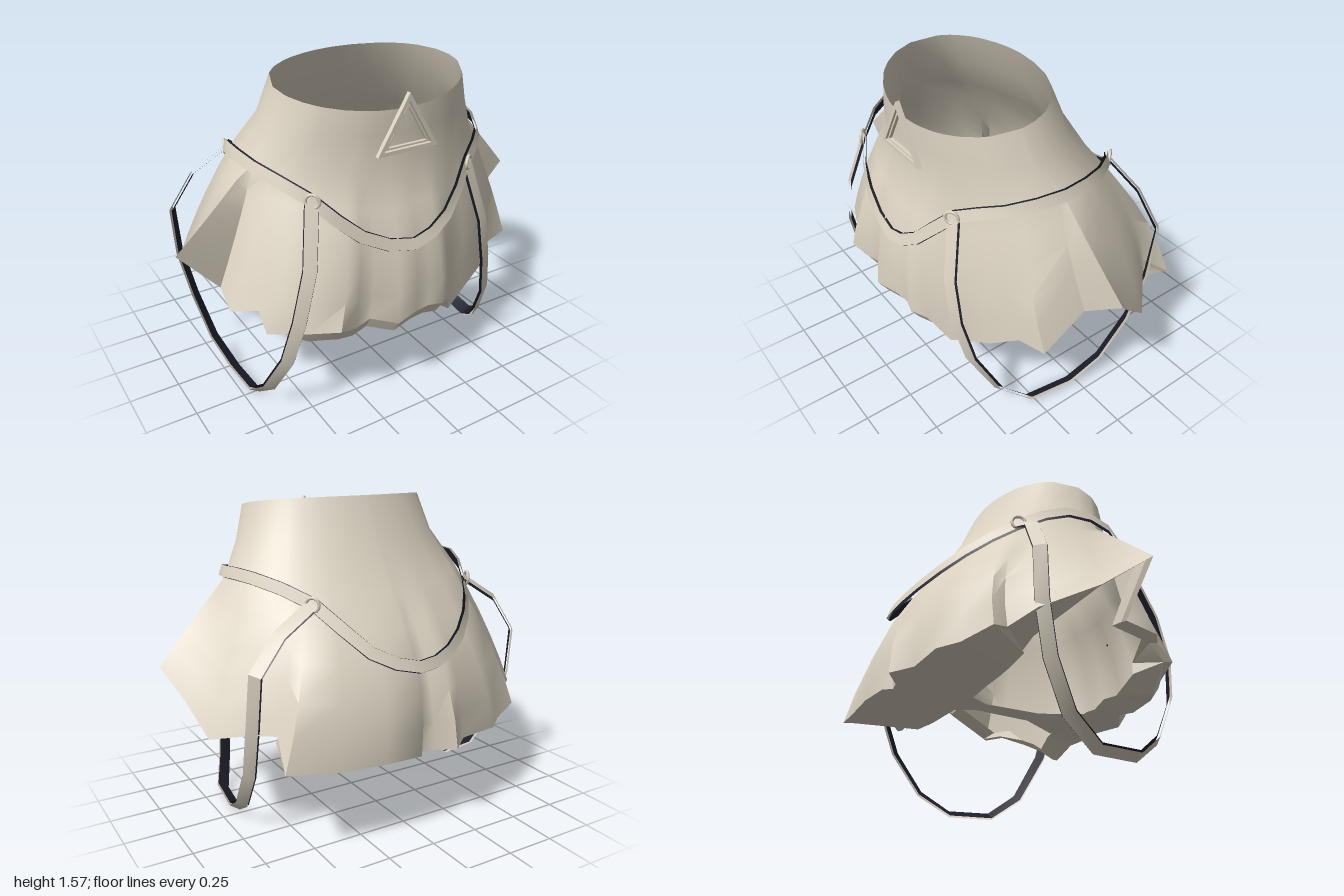
import * as THREE from 'three';
import { toCreasedNormals } from 'three/addons/utils/BufferGeometryUtils.js';

const cloth = new THREE.MeshStandardMaterial({ color: 0xdcd3c2, side: THREE.DoubleSide });
cloth.name = 'beige cloth';
const lining = new THREE.MeshStandardMaterial({ color: 0x1f1f2d, side: THREE.DoubleSide });
lining.name = 'dark lining';

const V = (x, y, z) => new THREE.Vector3(x, y, z);

// Joins cross-sections (rows of points) into one surface
function loft(rows, closed, crease) {
  const n = rows[0].length, pos = [], index = [];
  rows.forEach(row => row.forEach(p => pos.push(p.x, p.y, p.z)));
  for (let r = 0; r < rows.length - 1; r++) {
    for (let i = 0; i < (closed ? n : n - 1); i++) {
      const a = r * n + i, b = r * n + (i + 1) % n;
      index.push(a, a + n, b, b, a + n, b + n);
    }
  }
  const g = new THREE.BufferGeometry();
  g.setAttribute('position', new THREE.Float32BufferAttribute(pos, 3));
  g.setIndex(index);
  g.computeVertexNormals();
  return toCreasedNormals(g, crease);
}

function add(parent, name, geometry, material) {
  const m = new THREE.Mesh(geometry, material);
  m.name = name;
  parent.add(m);
  return m;
}

// Hem points (x, y, z) from the front round by the left side
const hem = [
  [0, .40, .64], [.08, .40, .63], [.15, .40, .65], [.22, .38, .60], [.30, .31, .52], [.40, .38, .50],
  [.55, .46, .46], [.66, .52, .37], [.81, .54, .34], [.80, .66, .10], [1, .82, .07], [.93, .68, -.05],
  [.88, .53, -.21], [.73, .57, -.36], [.65, .58, -.45], [.69, .46, -.60], [.45, .43, -.63], [.20, .42, -.65],
  [0, .41, -.64], [-.03, .41, -.60], [-.09, .41, -.61], [-.18, .42, -.68], [-.28, .43, -.60], [-.48, .44, -.59],
  [-.57, .45, -.52], [-.73, .48, -.45], [-.70, .50, -.37], [-.83, .55, -.30], [-.90, .70, -.02], [-1, .85, .19],
  [-.80, .62, .18], [-.82, .58, .33], [-.72, .60, .42], [-.72, .52, .50], [-.55, .43, .57], [-.43, .45, .66],
  [-.33, .41, .62], [-.24, .42, .60], [-.13, .40, .68],
].map(p => V(...p));

// Waistband, yoke and flared pleats in one surface
function skirt(parent) {
  const angles = hem.map(p => Math.atan2(p.x / .85, p.z / .65));
  const ring = (rx, rz, cz, height) => angles.map(a =>
    V(rx * Math.sin(a), height(Math.cos(a)), cz + rz * Math.cos(a)));
  const top = ring(.488, .325, .195, c => 1.54 - .06 * c - .02 * c * c);
  const band = ring(.54, .365, .155, c => 1.37 - .02 * c);
  const hip = ring(.63, .435, .075, c => 1.22 - .08 * c * c);
  // The front hem bulges a little above its lowest edge
  const lip = hem.map(p => V(p.x, p.y + (p.z > .55 ? .07 : 0), p.z));
  const rows = [top, band, hip];
  for (const t of [.2, .4, .6, .8, 1]) {
    rows.push(hip.map((p, i) => {
      const q = p.clone().lerp(lip[i], t), c = Math.cos(angles[i]);
      q.z += 4 * t * (1 - t) * c * (c < 0 ? .085 : .04);
      return q;
    }));
  }
  add(parent, 'skirt', loft(rows, true, 1), cloth);

  // Underside running in from the hem to the two leg openings
  const curl = hem.map(p => V(p.x * .97, p.y, p.z * .93));
  const rim = hem.map(p => {
    const z = THREE.MathUtils.clamp(p.z, -.22, .38), turned = z !== p.z;
    return V(p.x * (turned ? .8 : .87), turned ? .41 + (p.y - .41) * .7 : p.y + .02, z);
  });
  add(parent, 'underside', loft([lip, curl, rim], true, .6), cloth);
}

// Narrow strip between the leg openings, flaring at both ends
function underStrip(parent) {
  const rows = [[.39, .18], [.17, .06], [-.13, .05], [-.23, .1]]
    .map(([z, w]) => [V(-.02 - w, .408, z), V(-.02 + w, .408, z)]);
  add(parent, 'underStrip', loft(rows, false, .5), cloth);
}

// Two-layer ribbon facing away from a centre given for each point
function ribbon(parent, name, points, closed, width, steps, centre) {
  const curve = new THREE.CatmullRomCurve3(points.map(p => V(...p)), closed);
  const group = new THREE.Group();
  group.name = name;
  parent.add(group);
  const layer = (label, offset, w, material) => {
    const rows = [];
    for (let i = 0; i <= steps; i++) {
      const p = curve.getPoint(i / steps), t = curve.getTangent(i / steps);
      const n = p.clone().sub(centre(p));
      n.addScaledVector(t, -n.dot(t)).normalize();
      const side = t.clone().cross(n).normalize();
      const mid = p.clone().addScaledVector(n, offset);
      rows.push([mid.clone().addScaledVector(side, w / 2), mid.clone().addScaledVector(side, -w / 2)]);
    }
    add(group, label, loft(rows, false, .5), material);
  };
  layer(name + 'Outside', .008, width, cloth);
  layer(name + 'Inside', -.005, width * 1.1, lining);
}

// Triangular frame with an open middle
function triangleFrame(parent, name, outer, inner, depth) {
  const corners = s => [[-.16, -.09], [.16, -.09], [0, .18]].map(([x, y]) => new THREE.Vector2(x * s, y * s));
  const shape = new THREE.Shape(corners(outer));
  shape.holes.push(new THREE.Path(corners(inner).reverse()));
  const g = new THREE.ExtrudeGeometry(shape, { depth, bevelEnabled: false });
  add(parent, name, g, cloth).position.set(-.015, 1.355, .525);
}

export function createModel() {
  const model = new THREE.Group();
  model.name = 'strappedSkirt';
  skirt(model);
  underStrip(model);

  // Belt dipping at front and back between the four rings
  const belt = [
    [-.02, .84, .63], [.18, .93, .605], [.36, 1.12, .505], [.54, 1.19, .36], [.64, 1.23, .11], [.6, 1.23, -.12],
    [.41, 1.13, -.35], [.22, .92, -.54], [0, .84, -.61], [-.2, .88, -.57], [-.4, 1.0, -.43],
    [-.55, 1.14, -.22], [-.64, 1.23, 0], [-.63, 1.22, .25], [-.48, 1.12, .49], [-.28, .93, .59],
  ];
  ribbon(model, 'belt', belt, true, .055, 32, p => V(0, p.y - .22, .05));

  // Leg straps hanging from the rings
  const leftStrap = [
    [.36, 1.11, .51], [.42, .83, .58], [.46, .6, .58], [.51, .38, .54], [.57, .14, .42], [.64, .035, .28],
    [.67, .03, .04], [.70, .13, -.13], [.72, .34, -.28], [.735, .6, -.37], [.73, .86, -.41],
    [.6, 1.02, -.39], [.41, 1.13, -.35],
  ];
  const rightStrap = [
    [-.48, 1.11, .5], [-.54, .83, .58], [-.6, .58, .58], [-.64, .36, .53], [-.68, .14, .4], [-.7, .04, .27],
    [-.71, .04, .05], [-.75, .15, -.11], [-.79, .36, -.22], [-.83, .6, -.28], [-.84, .84, -.29],
    [-.73, 1.02, -.26], [-.55, 1.14, -.22],
  ];
  ribbon(model, 'leftLegStrap', leftStrap, false, .06, 12, () => V(.28, .6, .1));
  ribbon(model, 'rightLegStrap', rightStrap, false, .06, 12, () => V(-.34, .6, .1));

  // Rings where the straps meet the belt
  for (const [x, y, z] of [[.36, 1.12, .52], [-.48, 1.12, .505], [.42, 1.13, -.36], [-.565, 1.14, -.23]]) {
    const r = add(model, 'strapRing', new THREE.TorusGeometry(.032, .008, 6, 14), cloth);
    r.position.set(x, y, z);
    r.lookAt(x * 2, y, z * 2);
  }

  // Nested triangles on the waistband
  triangleFrame(model, 'outerTriangle', 1, .8, .022);
  triangleFrame(model, 'innerTriangle', .74, .64, .016);
  return model;
}
